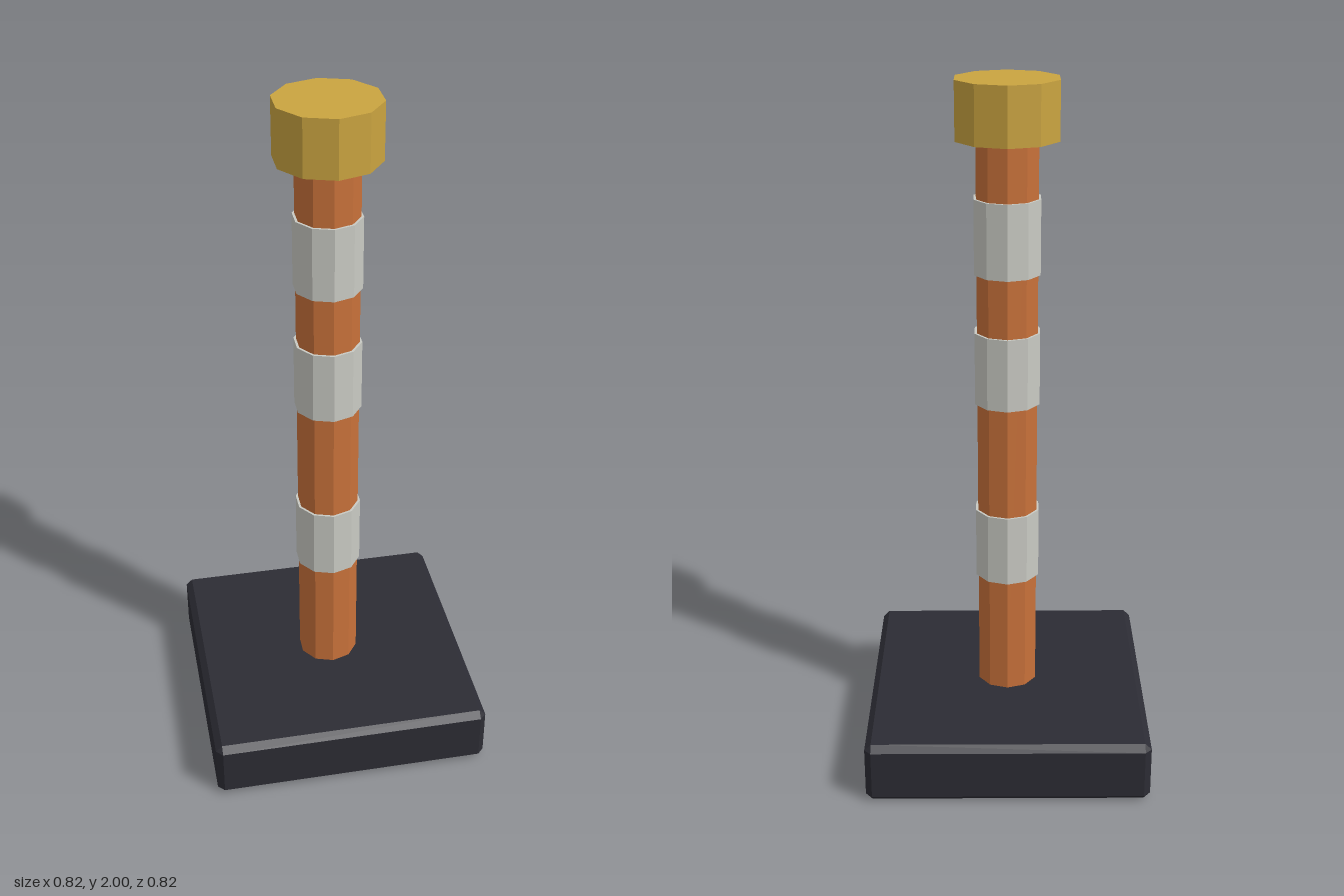
import * as THREE from 'three';
import { ConvexGeometry } from 'three/addons/geometries/ConvexGeometry.js';

const SIDES = 10;

function material(name, color) {
  const m = new THREE.MeshStandardMaterial({ color });
  m.name = name;
  return m;
}

// Box with every edge cut at 45 degrees
function chamferedBox(w, h, d, c) {
  const points = [];
  for (const sx of [-1, 1]) for (const sy of [-1, 1]) for (const sz of [-1, 1]) {
    const x = w / 2, y = h / 2, z = d / 2;
    points.push(
      new THREE.Vector3(sx * x, sy * (y - c), sz * (z - c)),
      new THREE.Vector3(sx * (x - c), sy * y, sz * (z - c)),
      new THREE.Vector3(sx * (x - c), sy * (y - c), sz * z)
    );
  }
  return new ConvexGeometry(points);
}

export function createModel() {
  const group = new THREE.Group();
  group.name = 'bandedPost';

  const charcoal = material('charcoal', 0x2c2c34);
  const copper = material('copper', 0xc8713a);
  const silver = material('silver', 0xc9cac3);
  const gold = material('gold', 0xcaa440);

  // Faceted upright prism between two heights
  function prism(name, radius, bottom, top, mat) {
    const geometry = new THREE.CylinderGeometry(radius, radius, top - bottom, SIDES).toNonIndexed();
    geometry.computeVertexNormals();
    const mesh = new THREE.Mesh(geometry, mat);
    mesh.position.y = (bottom + top) / 2;
    mesh.name = name;
    group.add(mesh);
  }

  // Base block
  const base = new THREE.Mesh(chamferedBox(0.824, 0.184, 0.824, 0.019), charcoal);
  base.position.y = 0.092;
  base.name = 'base';
  group.add(base);

  // Post and its top knob
  prism('post', 0.09, 0.18, 1.85, copper);
  prism('cap', 0.148, 1.838, 2, gold);

  // Rings around the post
  [0.541, 1.086, 1.467].forEach((y, i) => prism(`band${i + 1}`, 0.097, y, y + 0.212, silver));

  return group;
}
